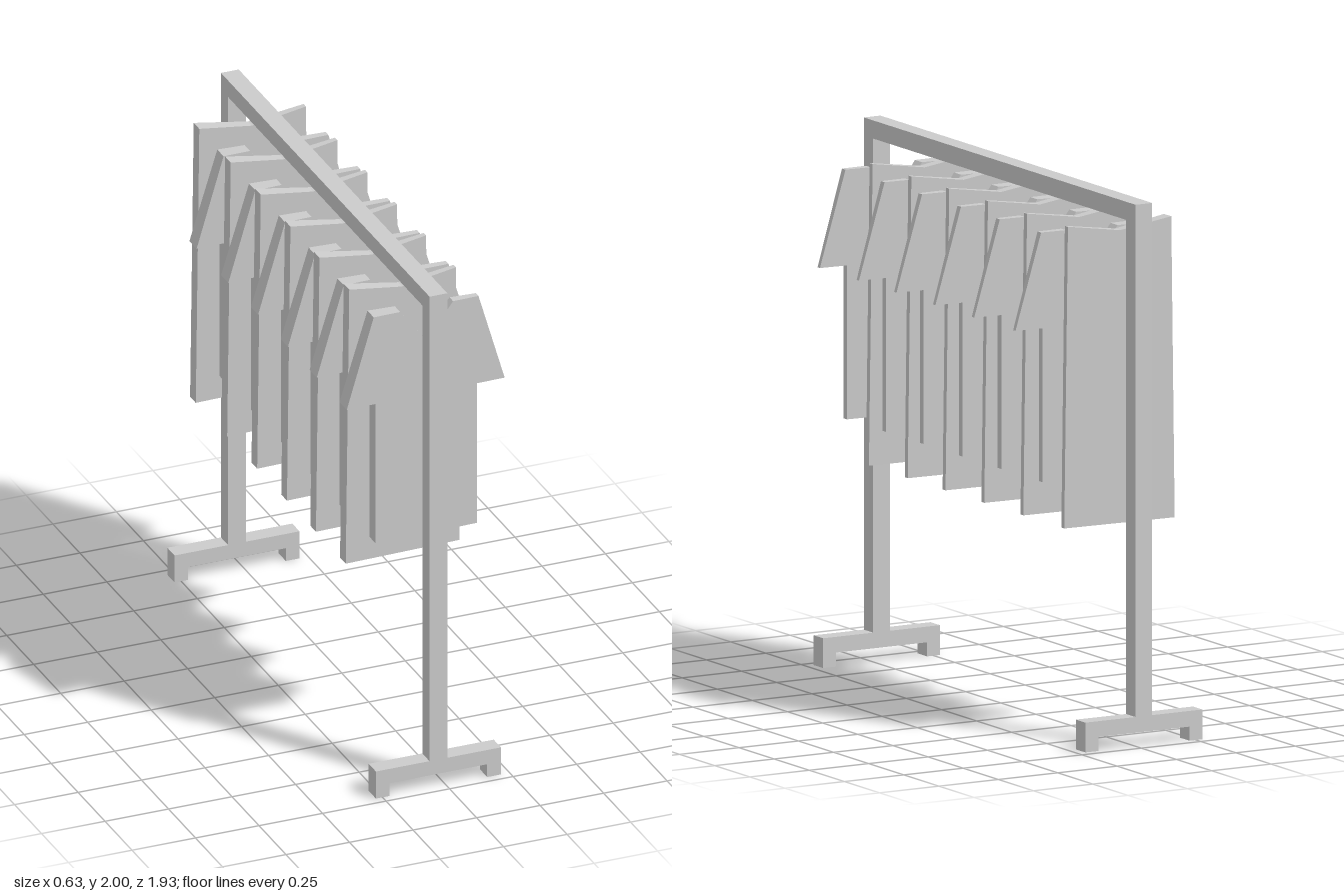
import * as THREE from 'three';

const material = new THREE.MeshStandardMaterial({ color: 0xcccccc, flatShading: true });

// Extrude an outline, centred on its own depth
function slab(name, points, depth) {
  const shape = new THREE.Shape(points.map(([x, y]) => new THREE.Vector2(x, y)));
  const geo = new THREE.ExtrudeGeometry(shape, { depth, bevelEnabled: false });
  geo.translate(0, 0, -depth / 2);
  const mesh = new THREE.Mesh(geo, material);
  mesh.name = name;
  return mesh;
}

// Garment slab whose thickness tapers from the -x edge to the +x edge
function garment(name, points, z, { x0, x1, thick, thin, drift }) {
  const mesh = slab(name, points, 1);
  const pos = mesh.geometry.attributes.position;
  for (let i = 0; i < pos.count; i++) {
    const t = (pos.getX(i) - x0) / (x1 - x0);
    pos.setZ(i, pos.getZ(i) * THREE.MathUtils.lerp(thick, thin, t) + drift * t);
  }
  mesh.geometry.computeVertexNormals();
  mesh.position.z = z;
  return mesh;
}

export function createModel() {
  const model = new THREE.Group();
  model.name = 'clothesRack';
  const railX = -0.03;

  // Two posts and the top rail as one square-section gate
  const frame = slab('frame', [
    [-0.967, 0.11], [-0.9, 0.11], [-0.9, 1.933], [0.9, 1.933],
    [0.9, 0.11], [0.967, 0.11], [0.967, 2], [-0.967, 2],
  ], 0.07);
  frame.rotation.y = Math.PI / 2;
  frame.position.x = railX;
  model.add(frame);

  // Bracket-shaped feet
  for (const side of [1, -1]) {
    const foot = slab(side > 0 ? 'frontFoot' : 'backFoot', [
      [-0.246, 0], [-0.192, 0], [-0.192, 0.052], [0.192, 0.052],
      [0.192, 0], [0.246, 0], [0.246, 0.11], [-0.246, 0.11],
    ], 0.067);
    foot.position.set(railX, 0, side * 0.9335);
    model.add(foot);
  }

  // Short-sleeved shirts with a V neck
  const shirt = [
    [-0.202, 0.94], [0.2, 0.94], [0.2, 1.508], [0.31, 1.508], [0.206, 1.862],
    [0.105, 1.862], [0, 1.725], [-0.105, 1.862], [-0.21, 1.862],
    [-0.317, 1.508], [-0.202, 1.508],
  ];
  [0.76, 0.482, 0.215, -0.062, -0.338, -0.632].forEach((z, i) => model.add(
    garment(`shirt${i + 1}`, shirt, z, { x0: -0.317, x1: 0.31, thick: 0.067, thin: 0.017, drift: 0.012 })));

  // Long sleeveless garments with a dipped top edge
  const longGarment = [
    [-0.254, 0.795], [0.2, 0.795], [0.185, 1.907], [-0.03, 1.875], [-0.24, 1.907],
  ];
  [0.609, 0.333, 0.064, -0.212, -0.49, -0.781].forEach((z, i) => model.add(
    garment(`longGarment${i + 1}`, longGarment, z, { x0: -0.254, x1: 0.2, thick: 0.053, thin: 0.021, drift: 0.002 })));

  return model;
}
